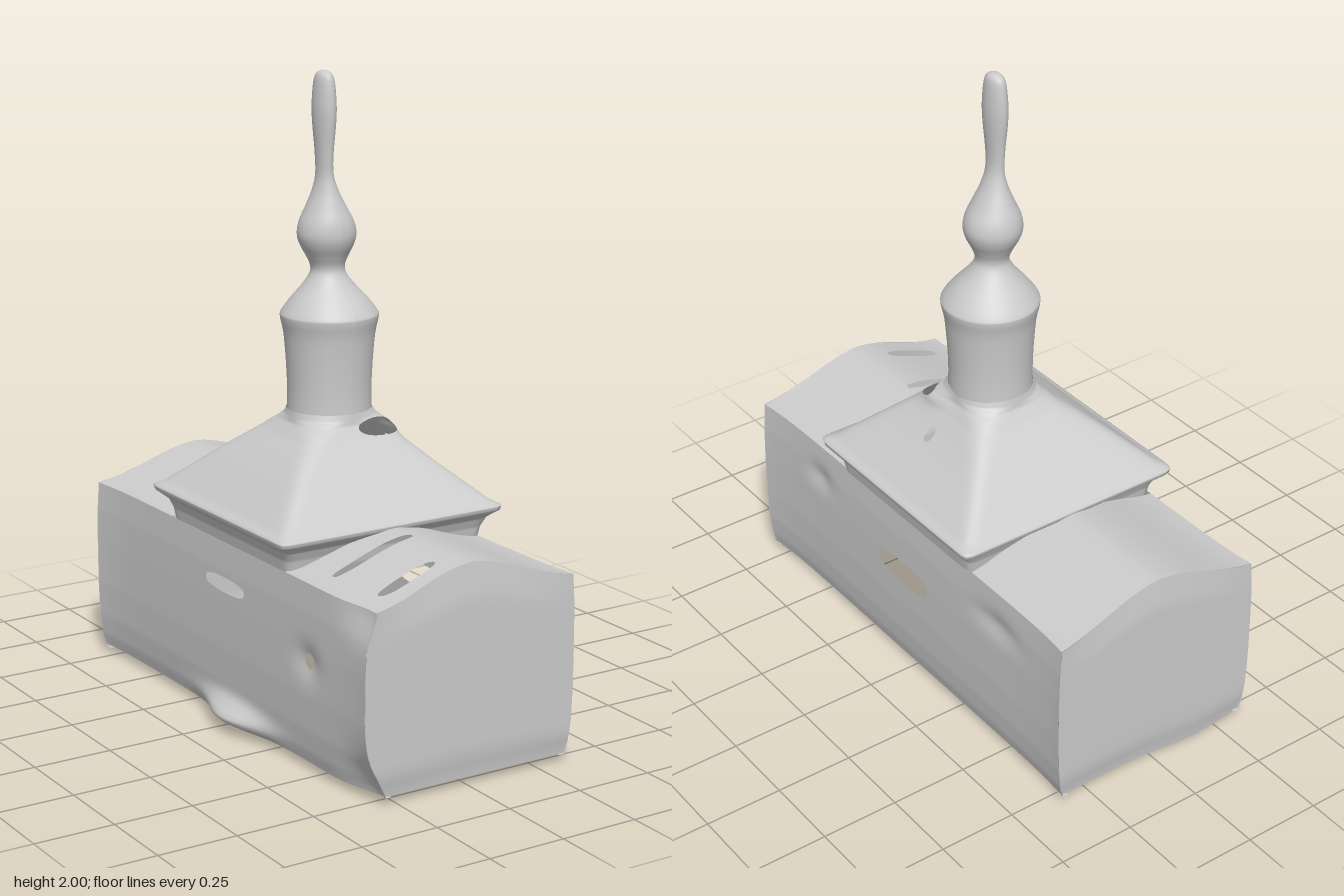
import * as THREE from 'three';

const material = new THREE.MeshStandardMaterial({ color: 0xcccccc, side: THREE.DoubleSide });

// Smooth sheet over a u/v grid. Holes are [u, v, radiusU, radiusV, power];
// grid points inside a hole are pushed out to its rim.
function sheet(f, u0, u1, nu, v0, v1, nv, holes = []) {
  const pos = [], inside = [], index = [];
  for (let j = 0; j <= nv; j++) {
    for (let i = 0; i <= nu; i++) {
      let u = u0 + (u1 - u0) * i / nu, v = v0 + (v1 - v0) * j / nv, hit = false;
      for (const [cu, cv, ru, rv, p] of holes) {
        const d = (Math.abs((u - cu) / ru) ** p + Math.abs((v - cv) / rv) ** p) ** (1 / p);
        if (d < 1) {
          hit = true;
          u = cu + (u - cu) / Math.max(d, 0.01);
          v = cv + (v - cv) / Math.max(d, 0.01);
        }
      }
      pos.push(...f(u, v));
      inside.push(hit);
    }
  }
  for (let j = 0; j < nv; j++) {
    for (let i = 0; i < nu; i++) {
      const a = j * (nu + 1) + i, b = a + 1, c = a + nu + 1, d = c + 1;
      if (inside[a] && inside[b] && inside[c] && inside[d]) continue;
      index.push(a, c, b, b, c, d);
    }
  }
  const g = new THREE.BufferGeometry();
  g.setAttribute('position', new THREE.Float32BufferAttribute(pos, 3));
  g.setIndex(index);
  g.computeVertexNormals();
  return g;
}

const bell = (x, c, r) => Math.exp(-(((x - c) / r) ** 2));

// Piecewise-linear lookup in [y, value] pairs
function lookup(points, y) {
  for (let i = 1; i < points.length; i++) {
    const [y0, a] = points[i - 1], [y1, b] = points[i];
    if (y <= y1) return a + (b - a) * Math.max(0, (y - y0) / (y1 - y0));
  }
  return points[points.length - 1][1];
}

const BASE = 0.03, EAVE = 0.588, LENGTH = 0.8, LIP = 0.02;
const wallProfile = [[0.03, 0.33], [0.07, 0.34], [0.14, 0.348], [0.25, 0.352],
  [0.4, 0.352], [0.5, 0.35], [0.588, 0.344]];

// x across the nave, t from -1 to 1: slight bulge, flared corners,
// and a worn front corner on the -x side
function across(t, y, z) {
  const worn = t < 0 ? bell(z, LENGTH, 0.12) * (0.05 * bell(y, BASE, 0.1) + 0.03 * bell(y, EAVE, 0.08)) : 0;
  return 0.004 + t * (lookup(wallProfile, y) + 0.014 * Math.abs(z / LENGTH) ** 8 - worn);
}

// Soft gable line with flared eaves
const gable = (t) => EAVE + 0.094 * (0.6 * (0.5 + 0.5 * Math.cos(Math.PI * t))
  + 0.4 * (1 - Math.abs(t) ** 1.2));

// Foot of an end wall; the back one sags slightly
const foot = (t, s) => BASE - (s < 0 ? 0.025 * bell(t, -0.5, 0.45) : 0);

// Distance of an end wall from the middle, slightly drawn in at top and bottom
const endZ = (t, v) => LENGTH + 0.003 - 0.012 * bell(v, 0, 0.08)
  - 0.012 * Math.max(0, v - 0.85) / 0.15 * (1 - t * t);

export function createModel() {
  const model = new THREE.Group();
  const add = (name, geometry) => {
    const mesh = new THREE.Mesh(geometry, material);
    mesh.name = name;
    model.add(mesh);
  };

  // Long walls with slot windows, shallow dents and a swollen foot on one side
  const leftWall = (z, y) => [across(1, y, z)
    - 0.012 * bell(y, 0.47, 0.04) * (bell(z, 0.49, 0.06) + bell(z, -0.47, 0.1)), y, z];
  const rightWall = (z, y) => [across(-1, y, z)
    - 0.07 * bell(z, 0.06, 0.16) * bell(y, 0.055, 0.035)
    + 0.015 * bell(z, 0.47, 0.06) * bell(y, 0.35, 0.05), y, z];
  add('leftWall', sheet(leftWall, -LENGTH, LENGTH, 120, BASE, EAVE, 50,
    [[0.02, 0.372, 0.13, 0.04, 2.6]]));
  add('rightWall', sheet(rightWall, -LENGTH, LENGTH, 120, BASE, EAVE, 50,
    [[0, 0.455, 0.115, 0.024, 2.6], [0.47, 0.35, 0.025, 0.025, 2]]));

  // Narrow lip turned inwards along the foot of the long walls
  [leftWall, rightWall].forEach((wall, i) => {
    add(i ? 'rightLip' : 'leftLip', sheet((z, d) => {
      const [x, y] = wall(z, BASE);
      return [x - Math.sign(x) * d, y, z];
    }, -LENGTH, LENGTH, 60, 0, LIP, 1));
  });

  for (const s of [1, -1]) {
    const end = s > 0 ? 'front' : 'back';

    // Gabled end wall and its lip
    add(end + 'Wall', sheet((t, v) => {
      const y = foot(t, s) + v * (gable(t) - foot(t, s));
      return [across(t, y, s * LENGTH), y, s * endZ(t, v)];
    }, -1, 1, 32, 0, 1, 30));
    add(end + 'Lip', sheet((t, d) => [across(t, BASE, s * LENGTH), foot(t, s), s * (endZ(t, 0) - d)],
      -1, 1, 32, 0, LIP, 1));

    // Nave roof on each side of the tower; the front one has two slots
    const holes = s > 0
      ? [[-0.395, 0.492, 0.4, 0.018, 4], [-0.5, 0.713, 0.29, 0.024, 2.5]] : [];
    add(end + 'Roof', sheet(
      (t, z) => [across(t, EAVE, s * z), gable(t), s * z * (1 - 0.012 * (1 - t * t) * z)],
      -1, 1, 48, 0.34, LENGTH, 60, holes));
  }

  // Square hipped roof with a coved eave, rounding off into the tower
  const roofRadius = [[0.58, 0.342], [0.62, 0.349], [0.65, 0.362], [0.675, 0.392], [0.69, 0.396],
    [0.705, 0.37], [0.8, 0.27], [0.9, 0.165], [0.935, 0.136], [0.97, 0.13]];
  const squareness = [[0.68, 40], [0.75, 22], [0.88, 8], [0.95, 2.2], [0.97, 2]];
  add('hippedRoof', sheet((a, y) => {
    const n = lookup(squareness, y), c = Math.cos(a), s = Math.sin(a);
    // A raised lip beside the opening near the top
    const lip = 0.02 * bell(a, 0.6, 0.4) * bell(y, 0.925, 0.03);
    const r = (lookup(roofRadius, y) + lip) / (Math.abs(c) ** n + Math.abs(s) ** n) ** (1 / n);
    return [0.008 + 0.014 * THREE.MathUtils.smoothstep(y, 0.8, 0.97) + r * c, y, 0.008 + r * s];
  }, -Math.PI, Math.PI, 192, 0.58, 0.97, 78,
  [[1.0, 0.924, 0.44, 0.023, 2], [0.09, 0.84, 0.07, 0.019, 2]]));

  // Round tower, bulb and spire, turned in one piece and flattened towards the tip
  const profile = [[0.13, 0.95], [0.129, 1.03], [0.133, 1.12], [0.14, 1.2], [0.15, 1.25],
    [0.147, 1.268], [0.12, 1.305], [0.08, 1.35], [0.056, 1.385], [0.053, 1.41],
    [0.065, 1.44], [0.082, 1.473], [0.09, 1.505], [0.085, 1.545], [0.067, 1.59],
    [0.047, 1.64], [0.035, 1.69], [0.038, 1.76], [0.047, 1.84], [0.049, 1.9],
    [0.041, 1.97], [0.026, 1.993], [0.0001, 2]].map(([r, y]) => new THREE.Vector2(r, y));
  const curve = new THREE.SplineCurve(profile);
  const tower = new THREE.LatheGeometry(curve.getPoints(132), 48);
  const p = tower.attributes.position;
  for (let i = 0; i < p.count; i++) {
    const y = p.getY(i), k = THREE.MathUtils.smoothstep(y, 1.5, 1.75);
    const lean = 0.024 - 0.01 * THREE.MathUtils.smoothstep(y, 1.25, 1.5);
    p.setX(i, p.getX(i) * (1 - 0.36 * k) + lean * (1 - k));
    p.setZ(i, p.getZ(i) + 0.008 + 0.008 * k);
  }
  tower.computeVertexNormals();
  add('towerAndSpire', tower);

  return model;
}
